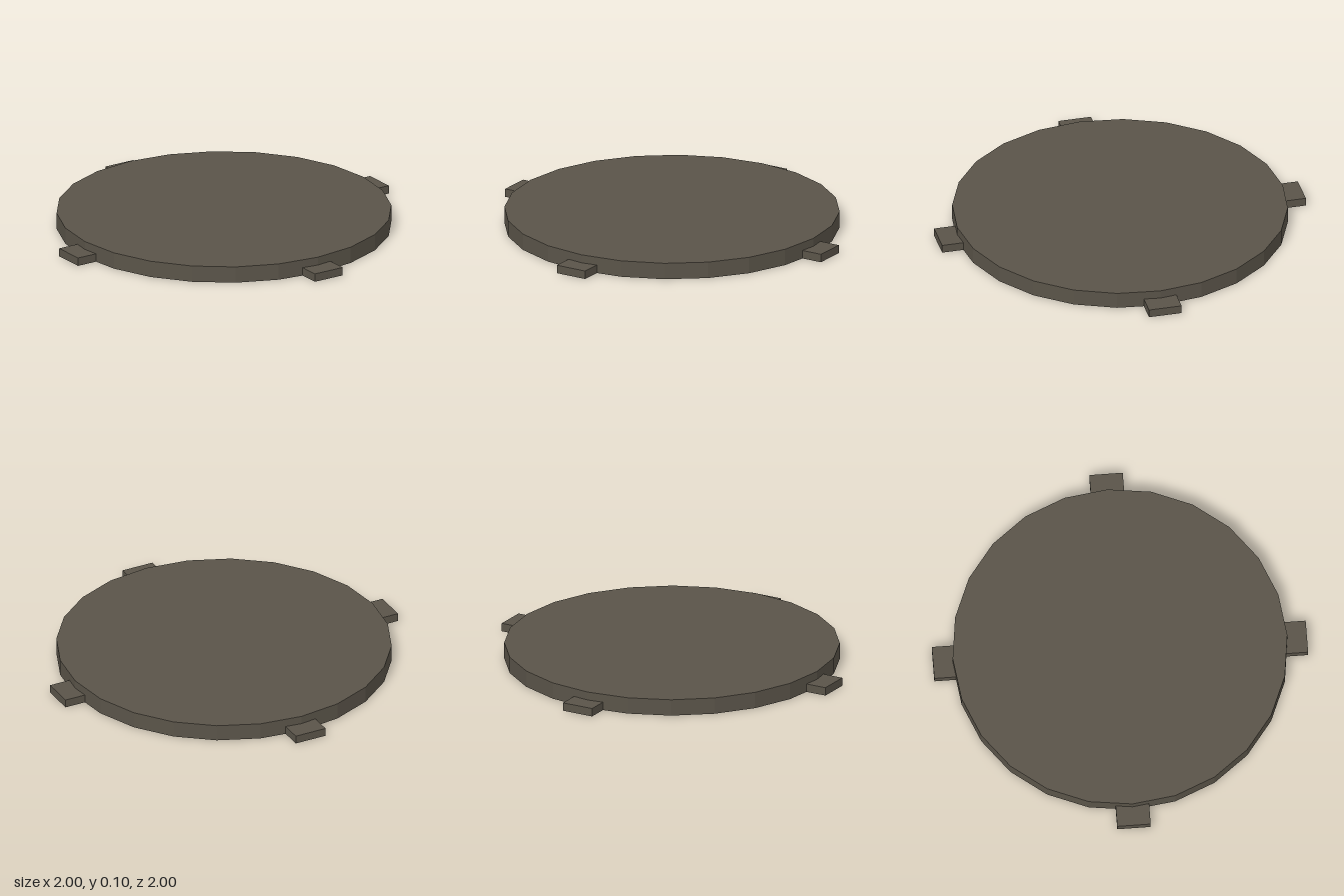
import * as THREE from 'three';

export function createModel() {
  const model = new THREE.Group();
  model.name = 'roundPlatform';
  const stone = new THREE.MeshStandardMaterial({ color: 0x5a5449 });
  stone.name = 'dark stone';

  // 24-sided disc; non-indexed with face normals for crisp facets
  const discGeometry = new THREE.CylinderGeometry(1, 1, 0.1, 24).toNonIndexed();
  discGeometry.computeVertexNormals();
  const disc = new THREE.Mesh(discGeometry, stone);
  disc.name = 'disc';
  disc.position.y = 0.05;
  model.add(disc);

  // Four low tabs on the diagonals, sunk into the rim
  const tabGeometry = new THREE.BoxGeometry(0.2, 0.05, 0.2);
  for (let i = 0; i < 4; i++) {
    const angle = Math.PI / 4 + (i * Math.PI) / 2;
    const tab = new THREE.Mesh(tabGeometry, stone);
    tab.name = `rimTab${i + 1}`;
    tab.position.set(Math.sin(angle) * 1.017, 0.025, Math.cos(angle) * 1.017);
    tab.rotation.y = angle;
    model.add(tab);
  }
  return model;
}
